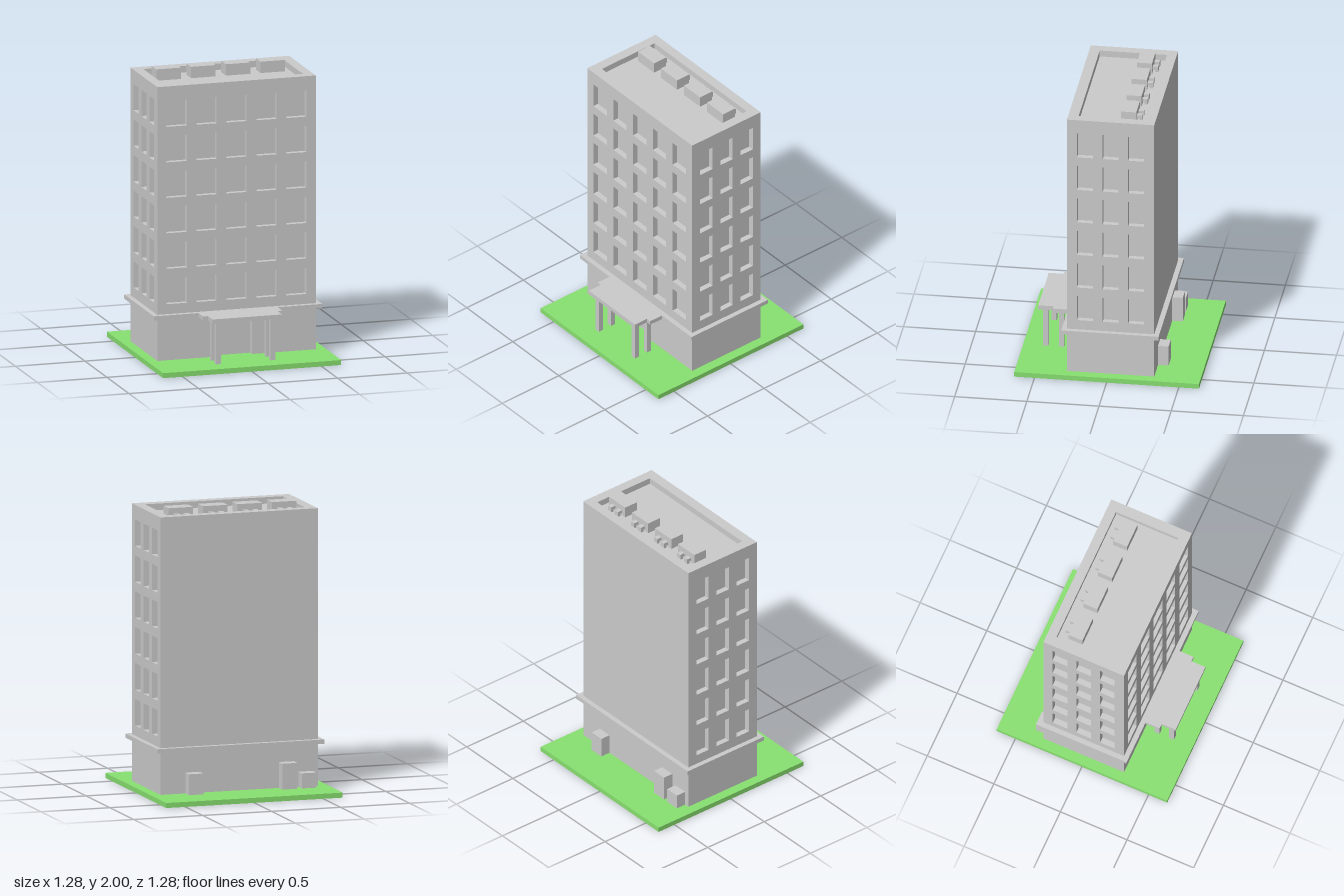
import * as THREE from 'three';

const GREY = new THREE.MeshStandardMaterial({ color: 0xcccccc, flatShading: true });
const GREEN = new THREE.MeshStandardMaterial({ color: 0x88e070, flatShading: true });

const GROUND = 0.035, ROOF = 1.92, TOP = 1.965;
const HALF_W = 0.57, FRONT = 0.285, BACK = -0.32, INSET = 0.04;

function add(parent, name, geometry, material = GREY) {
  const mesh = new THREE.Mesh(geometry, material);
  mesh.name = name;
  parent.add(mesh);
  return mesh;
}

// Box given by its extents on each axis
function block(parent, name, x0, x1, y0, y1, z0, z1, material) {
  const mesh = add(parent, name, new THREE.BoxGeometry(x1 - x0, y1 - y0, z1 - z0), material);
  mesh.position.set((x0 + x1) / 2, (y0 + y1) / 2, (z0 + z1) / 2);
  return mesh;
}

function polygon(points, Type = THREE.Shape) {
  return new Type(points.map(([x, y]) => new THREE.Vector2(x, y)));
}

function rect(x0, x1, y0, y1, Type) {
  return polygon([[x0, y0], [x1, y0], [x1, y1], [x0, y1]], Type);
}

const extrude = (shape, depth) => new THREE.ExtrudeGeometry(shape, { depth, bevelEnabled: false });

// Cuts six storeys of window openings into a wall outline
function cutWindows(shape, centres, width) {
  for (let floor = 0; floor < 6; floor++) {
    const y = 0.43 + floor * 0.25;
    for (const c of centres) {
      shape.holes.push(rect(c - width / 2, c + width / 2, y, y + 0.184, THREE.Path));
    }
  }
  return shape;
}

export function createModel() {
  const model = new THREE.Group();
  model.name = 'officeBlock';

  block(model, 'lawn', -0.64, 0.64, 0, GROUND, -0.64, 0.64, GREEN);

  // Solid core: window panes, back wall and roof deck
  block(model, 'core', -HALF_W + INSET, HALF_W - INSET, GROUND, ROOF, BACK, FRONT - INSET);

  // Front wall with doorway notch and windows
  const front = polygon([
    [-HALF_W, GROUND], [-0.11, GROUND], [-0.11, 0.29], [0.11, 0.29], [0.11, GROUND],
    [HALF_W, GROUND], [HALF_W, ROOF], [-HALF_W, ROOF],
  ]);
  cutWindows(front, [-0.43, -0.215, 0, 0.215, 0.43], 0.145);
  add(model, 'frontWall', extrude(front, INSET)).position.z = FRONT - INSET;

  // Side walls, drawn with -z running along the shape's x axis
  const side = cutWindows(rect(INSET - FRONT, -BACK, GROUND, ROOF), [-0.16, 0.018, 0.195], 0.11);
  for (const [name, x] of [['leftWall', HALF_W - INSET], ['rightWall', -HALF_W]]) {
    const wall = add(model, name, extrude(side, INSET));
    wall.rotation.y = Math.PI / 2;
    wall.position.x = x;
  }

  // Parapet ring around the roof
  const ring = rect(-HALF_W, HALF_W, -FRONT, -BACK);
  ring.holes.push(rect(-0.5, 0.5, -0.213, 0.253, THREE.Path));
  const parapet = add(model, 'parapet', extrude(ring, TOP - ROOF));
  parapet.rotation.x = -Math.PI / 2;
  parapet.position.y = ROOF;

  // Ledge above the ground floor, and the stepped entrance canopy
  block(model, 'ledge', -0.605, 0.605, 0.33, 0.36, -0.355, 0.32);
  const canopyShape = polygon([
    [-0.285, -0.32], [-0.285, -0.425], [-0.25, -0.425], [-0.25, -0.53],
    [0.25, -0.53], [0.25, -0.425], [0.285, -0.425], [0.285, -0.32],
  ]);
  const canopy = add(model, 'canopy', extrude(canopyShape, 0.03));
  canopy.rotation.x = -Math.PI / 2;
  canopy.position.y = 0.33;
  for (const x of [-0.197, 0.195]) {
    for (const z of [0.375, 0.483]) {
      block(model, 'canopyPost', x - 0.018, x + 0.018, GROUND, 0.33, z - 0.018, z + 0.018);
    }
  }

  // Roof units, each with two elbow ducts at the back
  for (let i = 0; i < 4; i++) {
    const unit = new THREE.Group();
    unit.name = 'roofUnit';
    unit.position.x = -0.375 + i * 0.25;
    block(unit, 'unitCasing', -0.088, 0.088, ROOF, 2, -0.18, -0.075);
    for (const x of [-0.036, 0.036]) {
      block(unit, 'ductDrop', x - 0.017, x + 0.017, ROOF, 1.937, -0.217, -0.195);
      block(unit, 'ductTop', x - 0.017, x + 0.017, 1.937, 1.96, -0.217, -0.18);
    }
    model.add(unit);
  }

  // Service cabinets against the back wall
  for (const [x0, x1, top] of [[-0.535, -0.43, 0.14], [-0.395, -0.287, 0.215], [0.285, 0.39, 0.18]]) {
    block(model, 'serviceCabinet', x0, x1, GROUND, top, -0.393, BACK);
  }

  return model;
}
